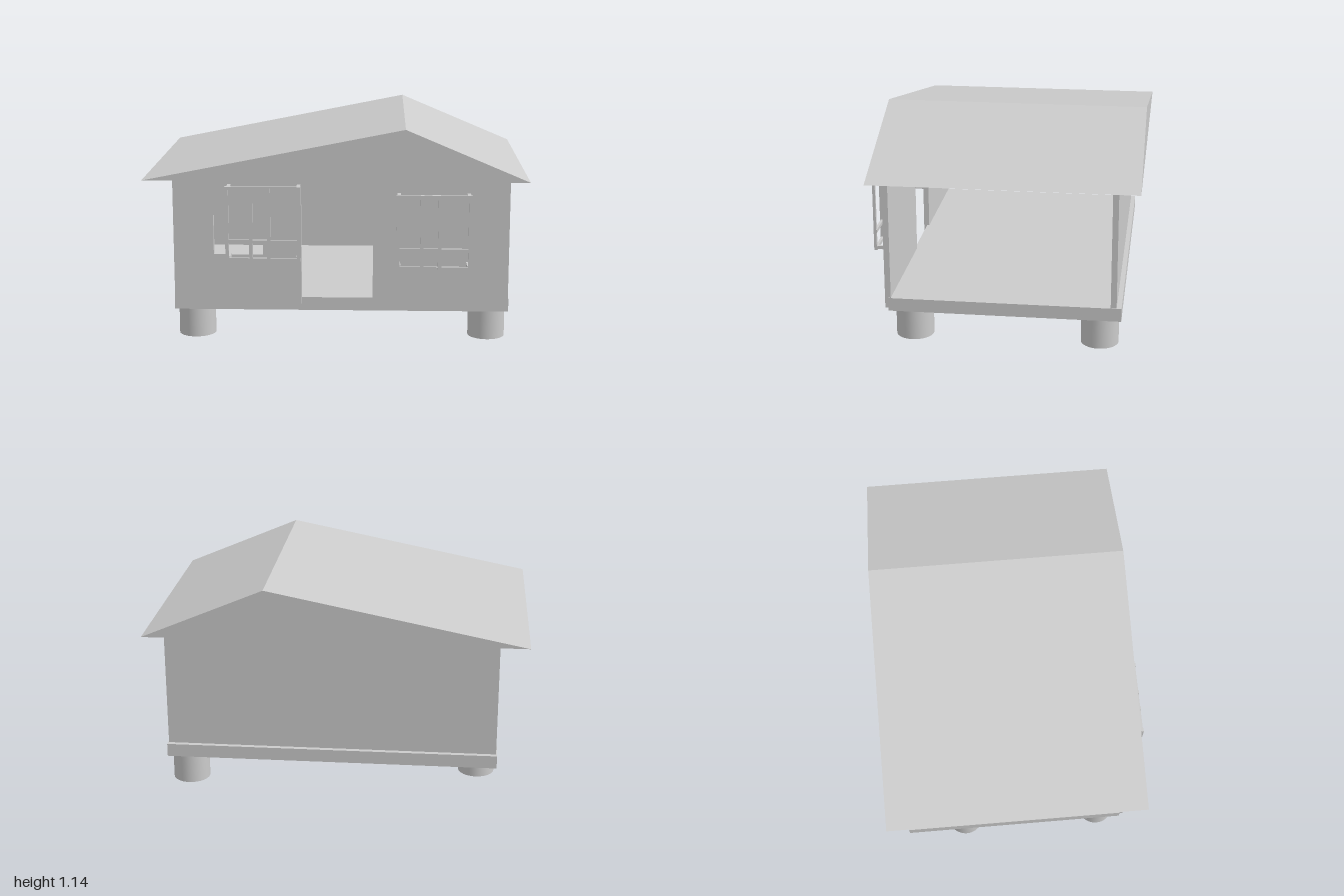
import * as THREE from 'three';

const material = new THREE.MeshStandardMaterial({ color: 0xcccccc, flatShading: true });
const smooth = new THREE.MeshStandardMaterial({ color: 0xcccccc });

// Box given by its min and max corners
function box(name, x0, x1, y0, y1, z0, z1) {
  const mesh = new THREE.Mesh(new THREE.BoxGeometry(x1 - x0, y1 - y0, z1 - z0), material);
  mesh.position.set((x0 + x1) / 2, (y0 + y1) / 2, (z0 + z1) / 2);
  mesh.name = name;
  return mesh;
}

// Outline in x, y extruded from z0 to z1
function slab(name, shape, z0, z1) {
  const geometry = new THREE.ExtrudeGeometry(shape, { depth: z1 - z0, bevelEnabled: false });
  geometry.translate(0, 0, z0);
  const mesh = new THREE.Mesh(geometry, material);
  mesh.name = name;
  return mesh;
}

const points = (list) => list.map(([x, y]) => new THREE.Vector2(x, y));

// Barred window guard held off the wall by four corner brackets
function windowGuard(name, x, y) {
  const guard = new THREE.Group();
  guard.name = name;
  const w = 0.39, h = 0.395, t = 0.018, front = 0.698, back = 0.684;
  for (const dx of [0, 0.124, 0.216, w - t]) {
    guard.add(box('verticalBar', x + dx, x + dx + t, y, y + h, back, front));
  }
  for (const dy of [0, 0.096, h - t]) {
    guard.add(box('horizontalBar', x, x + w, y + dy, y + dy + t, back - 0.003, front - 0.003));
  }
  for (const dx of [0.005, w - t - 0.005]) {
    for (const dy of [0.005, h - t - 0.005]) {
      guard.add(box('bracket', x + dx, x + dx + t, y + dy, y + dy + t, 0.6, back));
    }
  }
  return guard;
}

export function createModel() {
  const house = new THREE.Group();
  house.name = 'house';

  // Floor slab and back wall; both ends of the house are open
  house.add(box('floor', -0.855, 0.91, 0.16, 0.23, -0.615, 0.585));
  house.add(box('backWall', -0.85, 0.905, 0.23, 0.87, -0.59, -0.56));

  // Front wall with doorway and one window opening
  const wall = new THREE.Shape(points([
    [-0.85, 0.195], [-0.18, 0.195], [-0.18, 0.735], [0.195, 0.735],
    [0.195, 0.175], [0.905, 0.175], [0.905, 0.87], [-0.85, 0.87],
  ]));
  wall.holes.push(new THREE.Path(points([
    [-0.64, 0.465], [-0.64, 0.675], [-0.38, 0.675], [-0.38, 0.465],
  ])));
  house.add(slab('frontWall', wall, 0.573, 0.603));

  // Solid roof with an off-centre ridge
  const gable = new THREE.Shape(points([[-1, 0.87], [1, 0.87], [0.36, 1.14]]));
  house.add(slab('roof', gable, -0.7, 0.67));

  // Round foundation posts
  for (const [x, z] of [[-0.75, 0.467], [0.803, 0.467], [-0.75, -0.292], [0.803, -0.502]]) {
    const post = new THREE.Mesh(new THREE.CylinderGeometry(0.098, 0.098, 0.16, 32), smooth);
    post.position.set(x, 0.08, z);
    post.name = 'foundationPost';
    house.add(post);
  }

  house.add(windowGuard('rightWindowGuard', -0.568, 0.45));
  house.add(windowGuard('leftWindowGuard', 0.315, 0.41));
  return house;
}
